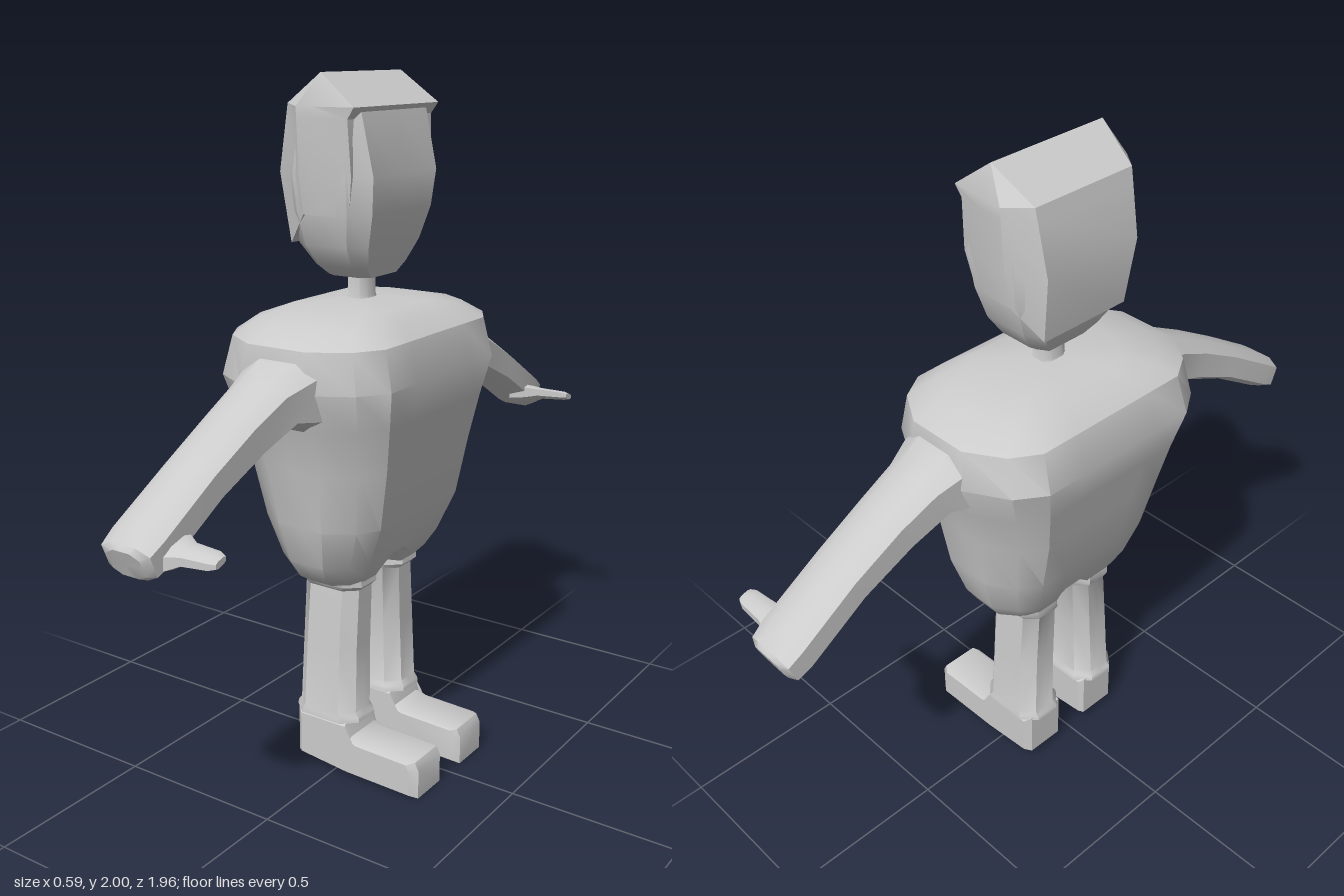
import * as THREE from 'three';
import { toCreasedNormals } from 'three/addons/utils/BufferGeometryUtils.js';

const material = new THREE.MeshStandardMaterial({ color: 0xcccccc, side: THREE.DoubleSide });
const V = (x, y, z) => new THREE.Vector3(x, y, z);

// Closed skin through rings of equal length, fan-capped and turned outwards.
function loft(rings, crease = 0.6) {
  const tris = [];
  const add = (a, b, c) => {
    const n = b.clone().sub(a).cross(c.clone().sub(a));
    if (n.length() > 1e-7) tris.push([a, b, c]);
  };
  const count = rings[0].length;
  for (let r = 0; r + 1 < rings.length; r++) {
    for (let i = 0; i < count; i++) {
      const j = (i + 1) % count, p = rings[r], q = rings[r + 1];
      add(p[i], p[j], q[j]);
      add(p[i], q[j], q[i]);
    }
  }
  for (const [ring, start] of [[rings[0], true], [rings[rings.length - 1], false]]) {
    const mid = ring.reduce((s, p) => s.add(p), V(0, 0, 0)).divideScalar(count);
    for (let i = 0; i < count; i++) {
      const a = ring[i], b = ring[(i + 1) % count];
      start ? add(mid, b, a) : add(mid, a, b);
    }
  }
  const o = rings[0][0];
  let volume = 0;
  for (const [a, b, c] of tris) {
    volume += a.clone().sub(o).dot(b.clone().sub(o).cross(c.clone().sub(o)));
  }
  const points = tris.flatMap(([a, b, c]) => (volume < 0 ? [a, c, b] : [a, b, c]));
  const geometry = new THREE.BufferGeometry().setFromPoints(points);
  return toCreasedNormals(geometry, crease);
}

// Mirrors a quarter outline (from [1,0] to [0,1]) into a full one.
function mirrorQuarter(quarter) {
  const half = [...quarter, ...quarter.slice(0, -1).reverse().map(([u, v]) => [-u, v])];
  return [...half, ...half.slice(1, -1).reverse().map(([u, v]) => [u, -v])];
}

// Level ring spanning x0..x1 and z0..z1.
const level = (outline, y, x0, x1, z0, z1) => outline.map(([u, v]) =>
  V((x0 + x1) / 2 + u * (x1 - x0) / 2, y, (z0 + z1) / 2 + v * (z1 - z0) / 2));

const BODY = mirrorQuarter([[1, 0], [1, 0.34], [1, 0.64], [0.8, 0.84], [0.38, 1], [0, 1]]);
const HEAD = mirrorQuarter([[1, 0], [1, 0.78], [0.6, 1], [0, 1]]);
const LIMB = mirrorQuarter([[1, 0], [1, 0.5], [0.6, 1], [0, 1]]);

export function createModel() {
  const model = new THREE.Group();
  const part = (name, geometry, parent = model) => {
    const mesh = new THREE.Mesh(geometry, material);
    mesh.name = name;
    parent.add(mesh);
    return mesh;
  };

  // Torso: [y, back x, front x, half width]
  const torso = [
    [0.60, -0.125, 0.07, 0.20], [0.63, -0.14, 0.095, 0.245], [0.68, -0.165, 0.125, 0.275],
    [0.80, -0.205, 0.175, 0.31], [0.97, -0.245, 0.205, 0.335], [1.10, -0.272, 0.228, 0.37],
    [1.21, -0.298, 0.25, 0.41], [1.32, -0.265, 0.225, 0.395], [1.36, -0.22, 0.18, 0.32],
    [1.385, -0.16, 0.13, 0.2], [1.395, -0.06, 0.02, 0.06],
  ].map(([y, x0, x1, w]) => level(BODY, y, x0, x1, -w, w));
  // Lift the middle of the seat between the legs
  torso.slice(0, 2).forEach((ring, k) => ring.forEach((p) => {
    if (Math.abs(p.z) < 0.01) p.y = 0.66 + 0.005 * k;
  }));
  part('torso', loft(torso, 0.55));

  part('neck', loft([[1.37, -0.065, 0.02, 0.05], [1.4, -0.055, 0.01, 0.04], [1.48, -0.055, 0.01, 0.04]]
    .map(([y, x0, x1, w]) => level(LIMB, y, x0, x1, -w, w))));

  // Head: [y, back x, front x, half width]
  part('head', loft([
    [1.46, -0.09, 0.05, 0.08], [1.49, -0.11, 0.062, 0.12], [1.55, -0.143, 0.085, 0.16],
    [1.64, -0.158, 0.11, 0.185], [1.74, -0.165, 0.12, 0.198], [1.92, -0.125, 0.08, 0.2],
  ].map(([y, x0, x1, w]) => level(HEAD, y, x0, x1, -w, w)), 0.5));

  // Hair: a shell round the sides and back, lower behind, with a ridged top
  const hairRing = (ySide, yBack, yMid, front, back, w) => {
    const half = [[front, ySide, w * 0.94], [-0.02, yMid, w], [-0.08, ySide, w], [back, yBack, w * 0.76]];
    return [...half, ...half.slice().reverse().map(([x, y, z]) => [x, y, -z])].map((p) => V(...p));
  };
  const eave = hairRing(1.915, 1.92, 1.915, 0.093, -0.145, 0.217);
  const ridge = eave.map((p) => V(-0.02, 2, Math.sign(p.z) * 0.188));
  part('hair', loft([
    hairRing(1.635, 1.55, 1.635, 0.06, -0.155, 0.19),
    hairRing(1.74, 1.74, 1.74, 0.078, -0.18, 0.207),
    hairRing(1.885, 1.885, 1.885, 0.072, -0.152, 0.215),
    eave, ridge], 0.45));

  // Foot outline in side view, and its inset towards the edges
  const footOutline = [[-0.13, 0.03], [0.05, 0.01], [0.29, 0.004], [0.29, 0.09], [0.278, 0.114],
    [0.09, 0.12], [0.06, 0.13], [0.045, 0.18], [-0.13, 0.18]];
  const footSlice = (z, inset) => footOutline.map(([x, y]) =>
    V(0.06 + (x - 0.06) * (1 - inset), 0.07 + (y - 0.07) * (1 - inset * 1.5), z));

  for (const side of [1, -1]) {
    const label = side > 0 ? 'left' : 'right';
    const flip = (rings) => rings.map((ring) => ring.map((p) => V(p.x, p.y, p.z * side)));

    // Trouser leg with a rim at the top and a flared cuff
    part(label + 'Leg', loft(flip([
      [0.165, -0.125, 0.05, 0.06, 0.185], [0.172, -0.145, 0.076, 0.04, 0.2],
      [0.185, -0.143, 0.074, 0.042, 0.199], [0.20, -0.132, 0.063, 0.05, 0.195],
      [0.40, -0.127, 0.06, 0.045, 0.183], [0.575, -0.125, 0.06, 0.04, 0.168],
      [0.59, -0.133, 0.075, 0.032, 0.18], [0.62, -0.13, 0.072, 0.035, 0.185],
    ].map(([y, ...box]) => level(LIMB, y, ...box))), 0.7));

    part(label + 'Foot', loft(flip([
      footSlice(0.047, 0.08), footSlice(0.058, 0), footSlice(0.175, 0), footSlice(0.192, 0.1),
    ]), 0.6));

    // Arm: [top z, top y, bottom z, bottom y, back x, front x]
    part(label + 'Arm', loft(flip([
      [0.34, 1.30, 0.30, 1.09, -0.13, 0.11], [0.41, 1.285, 0.37, 1.10, -0.125, 0.105],
      [0.49, 1.245, 0.42, 1.118, -0.108, 0.078], [0.60, 1.19, 0.55, 1.073, -0.1, 0.07],
      [0.75, 1.105, 0.71, 1.003, -0.098, 0.065], [0.93, 0.995, 0.89, 0.895, -0.104, 0.062],
      [0.972, 0.965, 0.935, 0.873, -0.1, 0.055], [0.98, 0.95, 0.95, 0.878, -0.075, 0.03],
    ].map(([tz, ty, bz, by, x0, x1]) => LIMB.map(([u, v]) => V(
      (x0 + x1) / 2 + v * (x1 - x0) / 2,
      (ty + by) / 2 + u * (ty - by) / 2,
      (tz + bz) / 2 + u * (tz - bz) / 2)))), 0.6));

    // Thumb: [x, middle y, middle z, half height, half depth]
    part(label + 'Thumb', loft(flip([
      [0.02, 0.93, 0.875, 0.035, 0.065], [0.065, 0.935, 0.88, 0.028, 0.045],
      [0.10, 0.94, 0.885, 0.018, 0.03], [0.18, 0.943, 0.888, 0.014, 0.025],
      [0.20, 0.943, 0.888, 0.009, 0.018],
    ].map(([x, y, z, h, d]) => LIMB.map(([u, v]) => V(x, y + u * h - v * d * 0.3, z + v * d))))));
  }
  return model;
}
